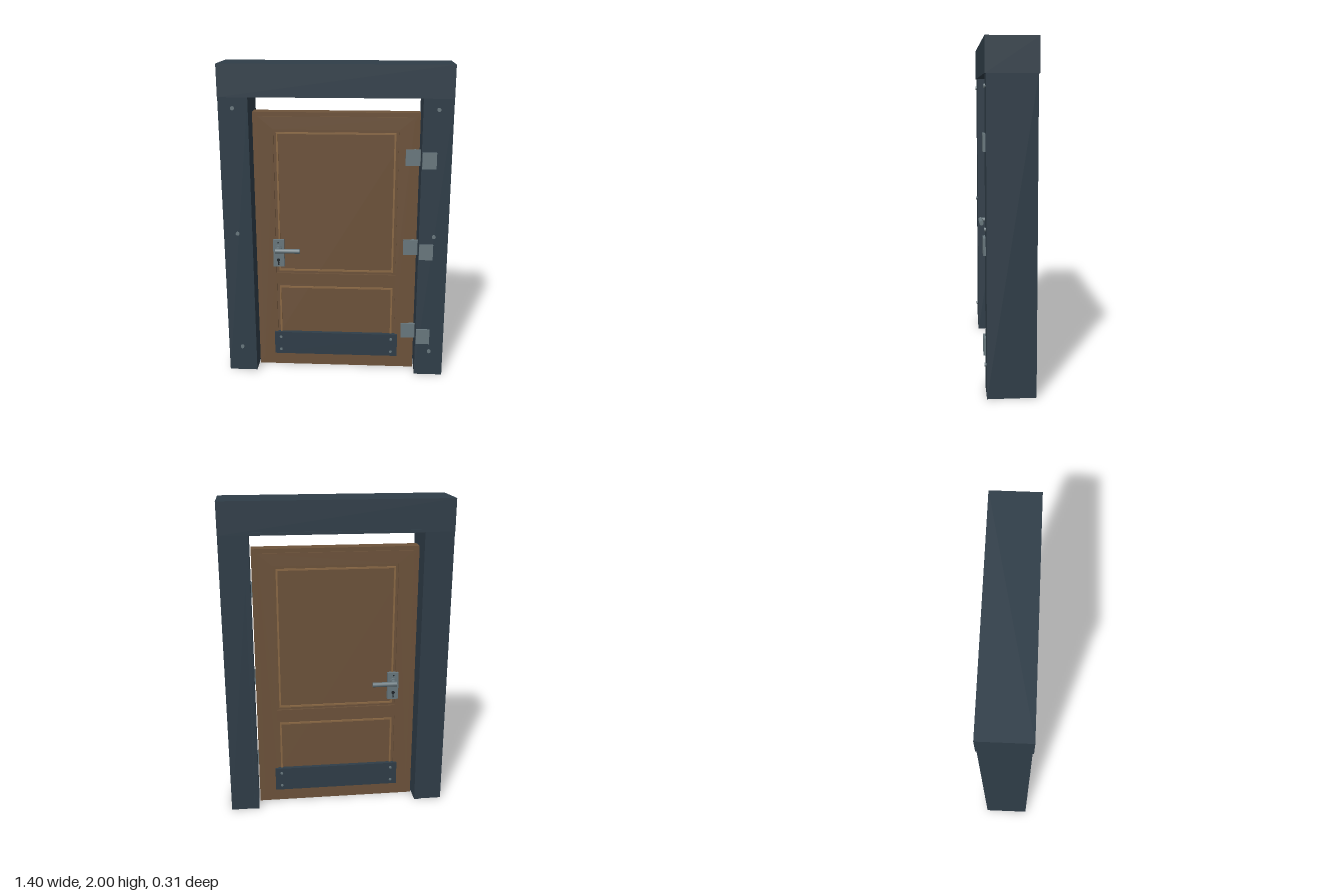
import * as THREE from 'three';

const mat = (name, color) => {
  const m = new THREE.MeshStandardMaterial({ color });
  m.name = name;
  return m;
};

export function createModel() {
  const frameBlue = mat('slate blue', 0x2f3d48);
  const wood = mat('brown wood', 0x6c523a);
  const trim = mat('light wood', 0x8a6844);
  const metal = mat('grey metal', 0x68777d);
  const dark = mat('dark hole', 0x20262a);

  const model = new THREE.Group();
  model.name = 'door';

  const add = (name, geo, material, x = 0, y = 0, z = 0, parent = model) => {
    const m = new THREE.Mesh(geo, material);
    m.name = name;
    m.position.set(x, y, z);
    parent.add(m);
    return m;
  };
  // Box given by its limits on each axis
  const box = (name, material, x0, x1, y0, y1, z0, z1, parent) =>
    add(name, new THREE.BoxGeometry(x1 - x0, y1 - y0, z1 - z0), material,
      (x0 + x1) / 2, (y0 + y1) / 2, (z0 + z1) / 2, parent);
  // Disc or rod pointing along z
  const rod = (name, material, r, depth, x, y, z, parent, sides = 16) =>
    add(name, new THREE.CylinderGeometry(r, r, depth, sides).rotateX(Math.PI / 2), material, x, y, z, parent);
  const rect = (w, y0, y1, Type = THREE.Shape) => new Type([
    new THREE.Vector2(-w, y0), new THREE.Vector2(w, y0),
    new THREE.Vector2(w, y1), new THREE.Vector2(-w, y1)]);
  // Plate centred on z = 0, showing the same relief on both faces
  const plate = (name, shape, depth, material, parent) =>
    add(name, new THREE.ExtrudeGeometry(shape, { depth, bevelEnabled: false }), material, 0, 0, -depth / 2, parent);

  // Surrounding frame
  const frame = new THREE.Group();
  frame.name = 'frame';
  model.add(frame);
  box('lintel', frameBlue, -0.7, 0.7, 1.805, 2, -0.147, 0.147, frame);
  box('lintelStop', frameBlue, -0.515, 0.515, 1.803, 1.82, -0.154, -0.14, frame);
  for (const s of [-1, 1]) {
    const post = add('post', new THREE.BoxGeometry(0.18, 1.806, 0.28), frameBlue, s * 0.61, 0.903, 0, frame);
    post.name = s > 0 ? 'leftPost' : 'rightPost';
    add('postStop', new THREE.BoxGeometry(0.03, 1.805, 0.006), frameBlue, s * 0.535, 0.9025, -0.142, frame);
    for (const y of [0.17, 0.955, 1.74])
      rod('frameBolt', metal, 0.012, 0.02, s * 0.612, y, 0.14, frame, 12);
  }

  // Door leaf: core, raised layer with two panel openings, panel mouldings
  const leaf = new THREE.Group();
  leaf.name = 'doorLeaf';
  model.add(leaf);
  box('core', wood, -0.512, 0.512, 0, 1.705, -0.045, 0.045, leaf);
  const panels = [[0.13, 0.585], [0.66, 1.6]];
  const raised = new THREE.Shape([
    [-0.48, 0.03], [-0.39, 0.03], [-0.38, 0.045], [0.38, 0.045], [0.39, 0.03], [0.48, 0.03],
    [0.48, 1.68], [-0.48, 1.68]].map(p => new THREE.Vector2(...p)));
  for (const [y0, y1] of panels) {
    raised.holes.push(rect(0.385, y0, y1, THREE.Path));
    const moulding = rect(0.368, y0 + 0.017, y1 - 0.017);
    moulding.holes.push(rect(0.357, y0 + 0.028, y1 - 0.028, THREE.Path));
    plate('panelMoulding', moulding, 0.106, trim, leaf);
  }
  plate('raisedFrame', raised, 0.11, wood, leaf);

  // Kick plate and handle set on each face
  for (const s of [1, -1]) {
    const side = new THREE.Group();
    side.name = s > 0 ? 'frontHardware' : 'backHardware';
    model.add(side);
    add('kickPlate', new THREE.BoxGeometry(0.812, 0.155, 0.026), frameBlue, 0, 0.1675, s * 0.058, side);
    for (const x of [-0.365, 0.365])
      for (const y of [0.122, 0.212])
        rod('kickPlateRivet', metal, 0.009, 0.01, x, y, s * 0.07, side, 12);

    add('handlePlate', new THREE.BoxGeometry(0.07, 0.18, 0.026), metal, -0.366, 0.803, s * 0.062, side);
    for (const y of [0.876, 0.728])
      rod('handleScrew', dark, 0.005, 0.004, -0.368, y, s * 0.075, side, 10);
    rod('keyhole', dark, 0.011, 0.004, -0.368, 0.758, s * 0.075, side);
    box('keySlot', dark, -0.372, -0.364, 0.735, 0.757, s * 0.075 - 0.002, s * 0.075 + 0.002, side);
    rod('handleCollar', metal, 0.021, 0.015, -0.366, 0.838, s * 0.08, side);
    rod('handleNeck', metal, 0.014, 0.06, -0.366, 0.838, s * 0.1, side);
    add('handleLever', new THREE.CylinderGeometry(0.015, 0.015, 0.155, 16).rotateZ(Math.PI / 2),
      metal, -0.302, 0.838, s * 0.128, side);
  }

  // Hinges on the front, one leaf on the door and one on the post
  for (const y of [0.275, 0.855, 1.435]) {
    const hinge = new THREE.Group();
    hinge.name = 'hinge';
    model.add(hinge);
    box('hingeDoorLeaf', metal, 0.428, 0.51, y - 0.05, y + 0.05, 0.044, 0.066, hinge);
    box('hingePostLeaf', metal, 0.524, 0.61, y - 0.05, y + 0.05, 0.135, 0.154, hinge);
    add('hingePin', new THREE.CylinderGeometry(0.008, 0.008, 0.1, 12), metal, 0.514, y, 0.058, hinge);
  }

  return model;
}
